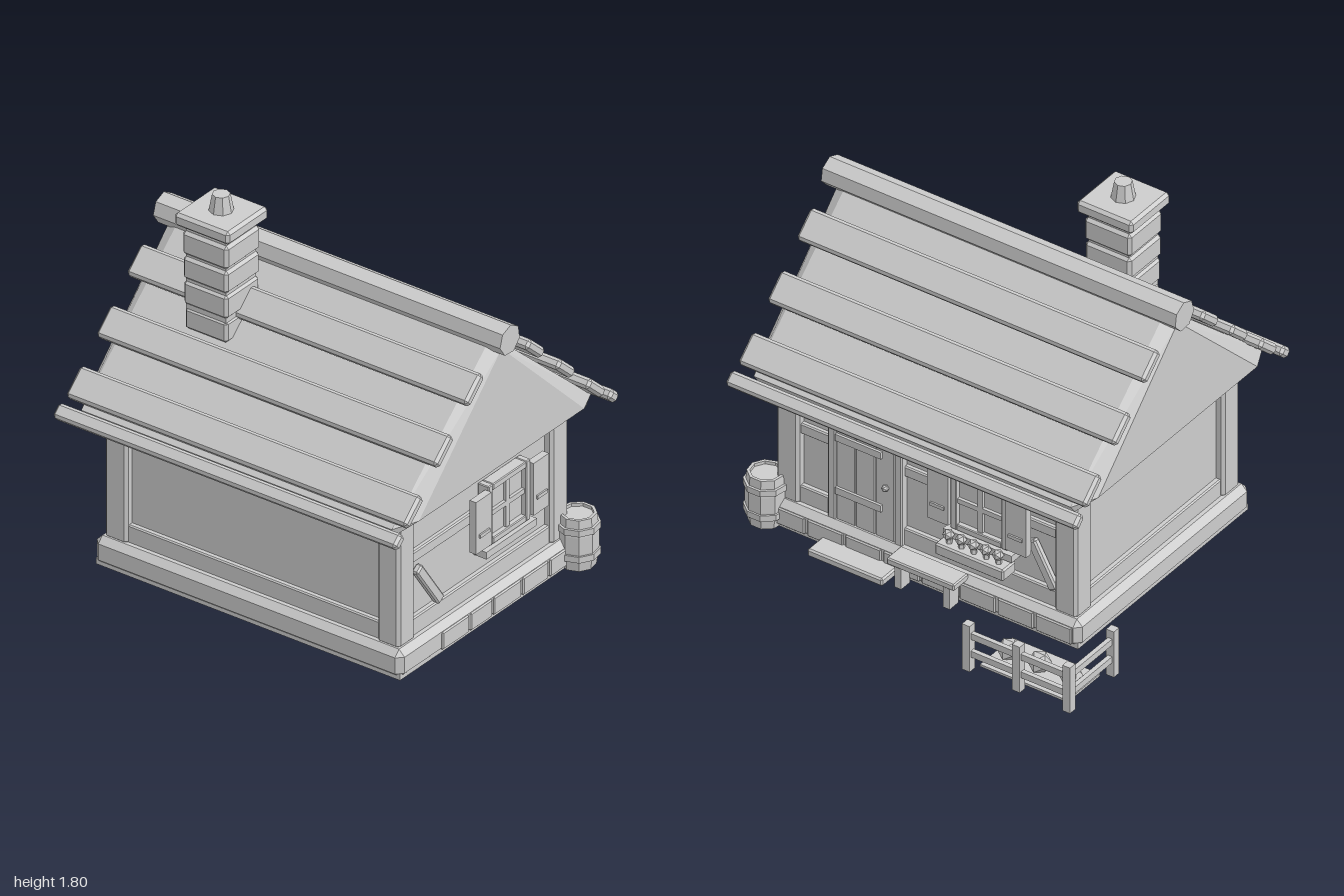
import * as THREE from 'three';
import { ConvexGeometry } from 'three/addons/geometries/ConvexGeometry.js';

const grey = new THREE.MeshStandardMaterial({ color: 0xcccccc });
grey.name = 'plain grey';

const group = (parent, name) => {
  const g = new THREE.Group();
  g.name = name;
  parent.add(g);
  return g;
};

// faceted mesh with one normal per face
function add(parent, name, geo, x = 0, y = 0, z = 0) {
  const flat = geo.index ? geo.toNonIndexed() : geo;
  flat.computeVertexNormals();
  const m = new THREE.Mesh(flat, grey);
  m.name = name;
  m.position.set(x, y, z);
  parent.add(m);
  return m;
}

// box with chamfered edges
function chamfer(w, h, d, c) {
  const pts = [];
  for (const i of [-1, 1]) for (const j of [-1, 1]) for (const k of [-1, 1]) {
    const a = w / 2, b = h / 2, e = d / 2;
    pts.push(new THREE.Vector3(i * a, j * (b - c), k * (e - c)),
      new THREE.Vector3(i * (a - c), j * b, k * (e - c)),
      new THREE.Vector3(i * (a - c), j * (b - c), k * e));
  }
  return new ConvexGeometry(pts);
}

// box given by its limits, chamfered if c > 0
function block(parent, name, x0, x1, y0, y1, z0, z1, c = 0) {
  const s = [x1 - x0, y1 - y0, z1 - z0];
  return add(parent, name, c ? chamfer(...s, c) : new THREE.BoxGeometry(...s),
    (x0 + x1) / 2, (y0 + y1) / 2, (z0 + z1) / 2);
}

// window in a wall plane facing local +z, centred at x
function addWindow(wall, x) {
  const g = group(wall, 'window');
  g.position.set(x, 0.508, 0);
  block(g, 'windowPane', -0.12, 0.12, -0.12, 0.12, 0, 0.035);
  for (const s of [-1, 1]) {
    block(g, 'frameSide', s * 0.134 - 0.016, s * 0.134 + 0.016, -0.15, 0.15, 0, 0.06, 0.004);
    block(g, 'frameRail', -0.118, 0.118, s * 0.134 - 0.016, s * 0.134 + 0.016, 0, 0.06, 0.004);
    block(g, 'shutter', s * 0.205 - 0.055, s * 0.205 + 0.055, -0.13, 0.13, 0.04, 0.075);
    block(g, 'shutterBar', s * 0.205 - 0.036, s * 0.205 + 0.036, -0.055, -0.038, 0.075, 0.083);
  }
  block(g, 'verticalBar', -0.012, 0.012, -0.12, 0.12, 0.03, 0.05);
  block(g, 'crossBar', -0.12, 0.12, -0.012, 0.012, 0.03, 0.05);
  block(g, 'sill', -0.18, 0.18, -0.193, -0.158, 0, 0.07);
}

// slanted brace on a wall
function addBrace(wall, x0, y0, x1, y1) {
  const m = add(wall, 'brace', chamfer(Math.hypot(x1 - x0, y1 - y0), 0.05, 0.035, 0.008),
    (x0 + x1) / 2, (y0 + y1) / 2, 0.016);
  m.rotation.z = Math.atan2(y1 - y0, x1 - x0);
}

// top and bottom timbers between the posts, plus a middle one if wanted
function addBeams(wall, x0, x1, middle) {
  block(wall, 'topBeam', x0, x1, 0.72, 0.78, -0.01, 0.025, 0.006);
  block(wall, 'bottomBeam', x0, x1, 0.13, 0.225, -0.01, 0.025, 0.006);
  for (const [a, b] of middle) block(wall, 'middleBeam', a, b, 0.495, 0.55, -0.01, 0.022, 0.006);
}

export function createModel() {
  const model = new THREE.Group();
  model.name = 'cottage';

  // foundation with facing stones on the two detailed sides
  const base = group(model, 'foundation');
  block(base, 'slab', -0.765, 0.885, 0, 0.14, -0.525, 0.755, 0.03);
  block(base, 'underside', -0.755, 0.875, 0, 0.03, -0.515, 0.745);
  const zCuts = [0.467, 0.265, 0.1, -0.107, -0.3, -0.5];
  for (let i = 0; i < 5; i++)
    block(base, 'stone', 0.8, 0.892, 0.02, 0.108, zCuts[i + 1] + 0.006, zCuts[i] - 0.006, 0.006);
  for (let i = 0; i < 8; i++)
    block(base, 'stone', -0.73 + i * 0.2, -0.542 + i * 0.2, 0.02, 0.108, -0.532, -0.45, 0.006);

  // walls and corner posts
  block(model, 'walls', -0.69, 0.81, 0.1, 0.79, -0.45, 0.68);
  for (const x of [-0.67, 0.79]) for (const z of [-0.432, 0.66])
    block(model, 'cornerPost', x - 0.06, x + 0.06, 0.13, 0.79, z - 0.06, z + 0.06, 0.014);

  const front = group(model, 'frontWall');
  front.position.z = 0.68;
  addBeams(front, -0.62, 0.74, []);

  const right = group(model, 'rightWall');
  right.position.x = -0.69;
  right.rotation.y = -Math.PI / 2;
  addBeams(right, -0.38, 0.61, []);

  const left = group(model, 'leftWall');
  left.position.x = 0.81;
  left.rotation.y = Math.PI / 2;
  addBeams(left, -0.61, 0.38, [[-0.61, 0.38]]);
  addWindow(left, 0.045);
  addBrace(left, -0.56, 0.455, -0.4, 0.225);

  // back wall with door, window and flower box
  const back = group(model, 'backWall');
  back.position.z = -0.45;
  back.rotation.y = Math.PI;
  addBeams(back, -0.74, 0.62, [[-0.74, -0.54], [-0.22, 0.62]]);
  for (const x of [-0.555, -0.205]) block(back, 'doorPost', x - 0.02, x + 0.02, 0.13, 0.73, 0, 0.045, 0.006);
  block(back, 'doorLintel', -0.575, -0.185, 0.68, 0.72, 0, 0.045, 0.006);
  for (let i = 0; i < 3; i++)
    block(back, 'doorPlank', -0.533 + i * 0.103, -0.433 + i * 0.103, 0.14, 0.68, 0, 0.04, 0.004);
  for (const y of [0.28, 0.56]) block(back, 'doorStrap', -0.53, -0.29, y, y + 0.035, 0.04, 0.052);
  add(back, 'doorKnob', new THREE.IcosahedronGeometry(0.018), -0.265, 0.42, 0.055);
  addWindow(back, 0.23);
  addBrace(back, 0.48, 0.44, 0.6, 0.225);
  const flowers = group(back, 'flowerBox');
  block(flowers, 'box', 0.05, 0.41, 0.25, 0.31, 0.035, 0.135, 0.008);
  for (let i = 0; i < 5; i++) {
    const x = 0.1 + i * 0.065;
    add(flowers, 'stem', new THREE.CylinderGeometry(0.012, 0.016, 0.05, 5), x, 0.325, 0.095);
    add(flowers, 'blossom', new THREE.IcosahedronGeometry(0.027), x, 0.355, 0.1);
  }

  // doorstep and bench
  block(model, 'doorstep', 0.185, 0.58, 0.01, 0.05, -0.64, -0.5, 0.008);
  const bench = group(model, 'bench');
  block(bench, 'seat', -0.17, 0.185, 0.115, 0.15, -0.61, -0.5, 0.006);
  for (const x of [-0.12, 0.135])
    block(bench, 'leg', x - 0.018, x + 0.018, 0, 0.12, -0.595, -0.53);

  // roof body with bevelled gable ends
  const roof = group(model, 'roof');
  const pts = [];
  for (const x of [-0.77, 0.895])
    for (const [z, y] of [[0.83, 0.8], [0.8, 0.76], [-0.56, 0.76], [-0.59, 0.8], [0.12, 1.43]])
      pts.push(new THREE.Vector3(x, y, z));
  for (const x of [-0.83, 0.95])
    for (const [z, y] of [[0.71, 0.805], [-0.47, 0.805], [0.12, 1.385]])
      pts.push(new THREE.Vector3(x, y, z));
  add(roof, 'roofBody', new ConvexGeometry(pts));

  // planks across each slope, with a small one along the eave
  for (const s of [-1, 1]) {
    [[0.217, 1.285, 0.15], [0.434, 1.082, 0.15], [0.65, 0.882, 0.15], [0.765, 0.79, 0.07]].forEach(([dz, y, w], i) => {
      const m = add(roof, i < 3 ? 'roofPlank' : 'eavePlank',
        chamfer(i < 3 ? 1.825 : 1.84, 0.05, w, 0.013), 0.06, y, 0.117 + s * dz);
      m.rotation.x = s * 0.74;
    });
  }
  const ridge = add(roof, 'ridgeLog', new THREE.CylinderGeometry(0.072, 0.072, 1.86, 7), 0.06, 1.44, 0.113);
  ridge.rotation.set(0.15, 0, Math.PI / 2, 'XYZ');

  // chimney
  const chimney = group(model, 'chimney');
  chimney.position.set(-0.373, 0, 0.36);
  block(chimney, 'core', -0.107, 0.107, 1.15, 1.67, -0.107, 0.107);
  [[1.14, 1.248, 0.114], [1.262, 1.38, 0.118], [1.39, 1.502, 0.12], [1.512, 1.628, 0.122]].forEach(([a, b, r]) =>
    block(chimney, 'stoneCourse', -r, r, a, b, -r, r, 0.014));
  block(chimney, 'cap', -0.147, 0.147, 1.655, 1.72, -0.145, 0.145, 0.014);
  add(chimney, 'pot', new THREE.CylinderGeometry(0.04, 0.057, 0.09, 8), 0, 1.755, 0);

  // barrel
  const barrel = group(model, 'barrel');
  barrel.position.set(0.89, 0, -0.505);
  const profile = [[0, 0], [0.08, 0], [0.092, 0.09], [0.092, 0.17], [0.084, 0.255], [0.07, 0.255], [0.07, 0.24], [0, 0.24]];
  add(barrel, 'staves', new THREE.LatheGeometry(profile.map(p => new THREE.Vector2(...p)), 9));
  for (const y of [0.068, 0.198])
    add(barrel, 'hoop', new THREE.CylinderGeometry(0.1, 0.1, 0.03, 9), 0, y, 0);

  // garden bed with bushes
  const garden = group(model, 'garden');
  block(garden, 'bed', -0.945, -0.485, 0, 0.012, -0.86, -0.62);
  for (const x of [-0.875, -0.712, -0.55])
    add(garden, 'bush', new THREE.IcosahedronGeometry(0.054), x, 0.047, -0.738);

  // fence round the corner of the bed
  const fence = group(model, 'fence');
  for (const [x, z] of [[-0.98, -0.9], [-0.716, -0.9], [-0.453, -0.9], [-0.98, -0.575]])
    block(fence, 'post', x - 0.02, x + 0.02, 0, 0.24, z - 0.02, z + 0.02);
  for (const y of [0.09, 0.183]) {
    block(fence, 'backRail', -0.98, -0.453, y - 0.016, y + 0.016, -0.911, -0.889);
    block(fence, 'sideRail', -0.991, -0.969, y - 0.016, y + 0.016, -0.9, -0.575);
  }
  return model;
}
